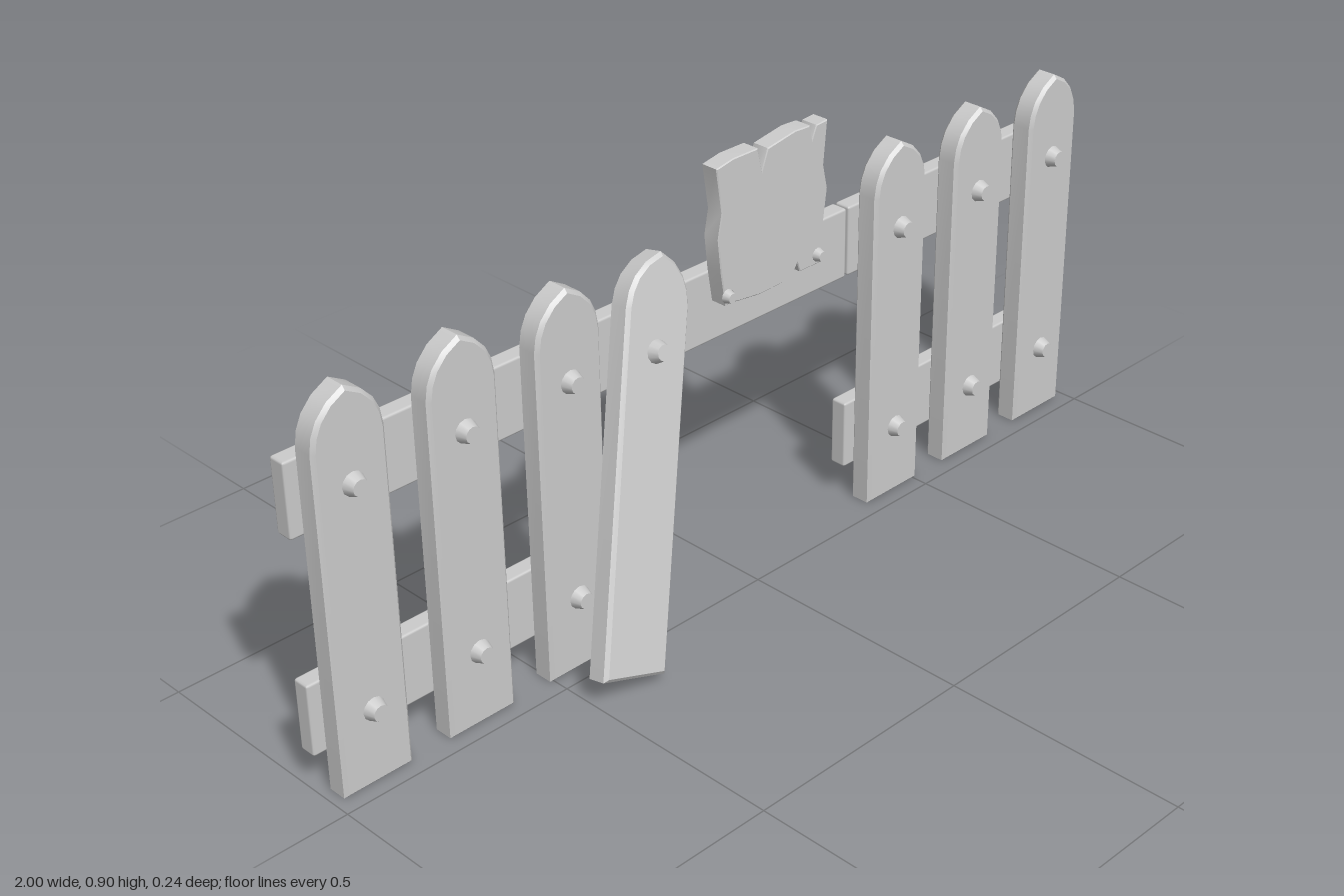
import * as THREE from 'three';
import { RoundedBoxGeometry } from 'three/addons/geometries/RoundedBoxGeometry.js';
import { toCreasedNormals } from 'three/addons/utils/BufferGeometryUtils.js';

const material = new THREE.MeshStandardMaterial({ color: 0xcccccc });

function addMesh(parent, name, geometry, x = 0, y = 0, z = 0) {
  const mesh = new THREE.Mesh(geometry, material);
  mesh.name = name;
  mesh.position.set(x, y, z);
  parent.add(mesh);
  return mesh;
}

// Board cut from an outline, chamfered all round, front face on z = 0
function boardGeometry(points, depth, bevel) {
  const shape = new THREE.Shape(points.map(([x, y]) => new THREE.Vector2(x, y)));
  const geometry = new THREE.ExtrudeGeometry(shape, {
    depth: depth - 2 * bevel, bevelEnabled: true, bevelThickness: bevel,
    bevelSize: bevel, bevelOffset: -bevel, bevelSegments: 1,
  });
  geometry.translate(0, 0, bevel - depth);
  return toCreasedNormals(geometry, 0.5);
}

// Tapered bolt head standing on z = 0
function boltGeometry(radius, height) {
  const geometry = new THREE.CylinderGeometry(radius * 0.68, radius, height, 12);
  geometry.rotateX(Math.PI / 2);
  geometry.translate(0, 0, height / 2);
  return geometry;
}

export function createModel() {
  const fence = new THREE.Group();
  fence.name = 'brokenFence';

  // Pickets with pointed, slightly rounded tops
  const half = [[0.074, 0.002], [0.074, 0.685], [0.069, 0.715], [0.057, 0.741], [0.034, 0.766]];
  const outline = [...half, [0, 0.785], ...half.map(([x, y]) => [-x, y]).reverse()];
  const picketGeometry = boardGeometry(outline, 0.052, 0.007);
  const bolt = boltGeometry(0.023, 0.02);

  function addPicket(name, boltHeights) {
    const picket = new THREE.Group();
    picket.name = name;
    addMesh(picket, 'board', picketGeometry);
    for (const y of boltHeights) addMesh(picket, 'bolt', bolt, 0, y, 0);
    fence.add(picket);
    return picket;
  }

  for (const side of [-1, 1]) {
    for (const x of [0.904, 0.669, 0.433]) {
      addPicket('picket', [0.157, 0.605]).position.set(side * x, 0, -0.031);
    }
  }

  // Loose picket leaning forward and sideways from its upper bolt
  const loose = addPicket('loosePicket', [0.605]);
  loose.position.set(-0.433, 0.045, 0.116);
  loose.rotation.set(-0.224, 0, -0.317);
  loose.scale.y = 0.99;

  // Rails: an upper and lower one on each side, one upper rail across the gap
  const rail = new RoundedBoxGeometry(0.663, 0.148, 0.037, 1, 0.005);
  for (const side of [-1, 1]) {
    addMesh(fence, 'upperRail', rail, side * 0.6685, 0.588, -0.1015);
    addMesh(fence, 'lowerRail', rail, side * 0.6685, 0.151, -0.1015);
  }
  addMesh(fence, 'middleRail', rail, 0, 0.588, -0.1015);

  // Blank sign with ragged edges and splits
  const sign = new THREE.Group();
  sign.name = 'sign';
  const ragged = [
    [-0.052, 0.61], [-0.04, 0.612], [-0.034, 0.635], [-0.026, 0.61], [0.04, 0.602],
    [0.09, 0.604], [0.126, 0.612], [0.138, 0.632], [0.145, 0.611], [0.218, 0.61],
    [0.208, 0.69], [0.218, 0.76], [0.207, 0.81], [0.216, 0.898],
    [0.186, 0.896], [0.175, 0.868], [0.169, 0.9], [0.13, 0.902], [0.058, 0.89],
    [0.043, 0.848], [0.032, 0.898], [-0.03, 0.898], [-0.073, 0.89],
    [-0.06, 0.8], [-0.07, 0.75], [-0.063, 0.68],
  ];
  addMesh(sign, 'signBoard', boardGeometry(ragged, 0.038, 0.002), 0, 0, -0.031);
  for (const x of [-0.048, 0.193]) addMesh(sign, 'signBolt', boltGeometry(0.014, 0.014), x, 0.63, -0.031);
  fence.add(sign);

  return fence;
}
